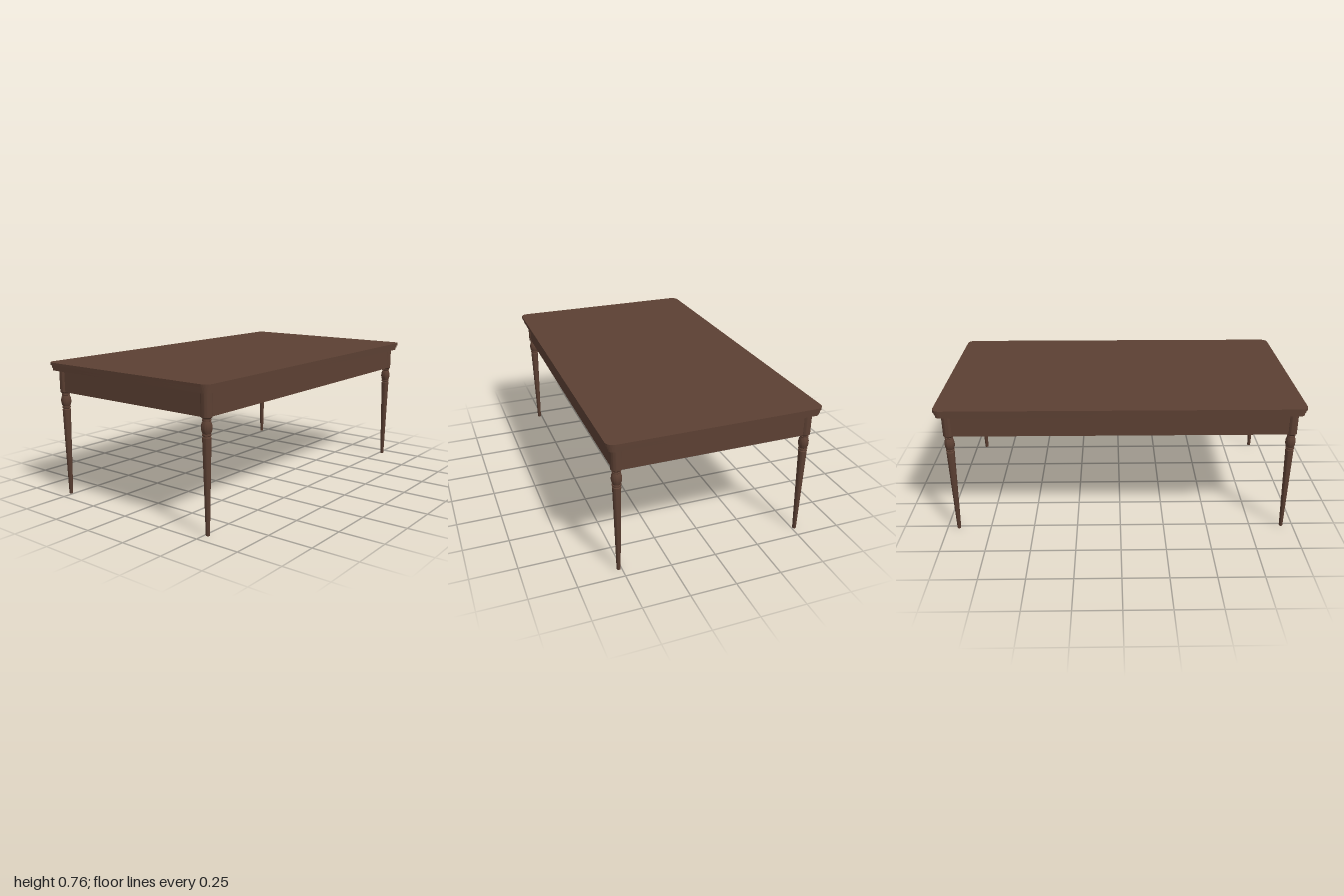
import * as THREE from 'three';
import { toCreasedNormals } from 'three/addons/utils/BufferGeometryUtils.js';

const LEG_X = 0.516, LEG_Z = 0.934;
const APRON_Y0 = 0.598, APRON_Y1 = 0.722, APRON_T = 0.04;

// Rounded rectangular slab between two heights, inset from the full table outline
function slabGeometry(inset, y0, y1) {
  const x = 0.578 - inset, z = 1 - inset, r = 0.042 - inset;
  const s = new THREE.Shape();
  s.moveTo(-x + r, -z);
  s.lineTo(x - r, -z);
  s.absarc(x - r, -z + r, r, -Math.PI / 2, 0);
  s.lineTo(x, z - r);
  s.absarc(x - r, z - r, r, 0, Math.PI / 2);
  s.lineTo(-x + r, z);
  s.absarc(-x + r, z - r, r, Math.PI / 2, Math.PI);
  s.lineTo(-x, -z + r);
  s.absarc(-x + r, -z + r, r, Math.PI, Math.PI * 1.5);
  const g = new THREE.ExtrudeGeometry(s, { depth: y1 - y0, bevelEnabled: false, curveSegments: 10 });
  g.rotateX(-Math.PI / 2).translate(0, y0, 0);
  return toCreasedNormals(g, 0.6);
}

// Turned leg: tapered shaft, rings, vase bulb, neck and cylindrical head
function legGeometry() {
  const profile = [
    [0, 0], [0.0095, 0], [0.0105, 0.004], [0.0225, 0.497],
    [0.0185, 0.5], [0.0185, 0.503], [0.0235, 0.506], [0.0235, 0.512], [0.02, 0.515],
    [0.0225, 0.52], [0.0262, 0.531], [0.0278, 0.544], [0.0268, 0.557], [0.0235, 0.57], [0.0195, 0.578],
    [0.0225, 0.58], [0.0225, 0.585], [0.0195, 0.588],
    [0.0292, 0.598], [0.0292, 0.722], [0, 0.722],
  ].map(([r, y]) => new THREE.Vector2(r, y));
  return toCreasedNormals(new THREE.LatheGeometry(profile, 28), 0.5);
}

export function createModel() {
  const table = new THREE.Group();
  table.name = 'table';
  const wood = new THREE.MeshStandardMaterial({ color: 0x5c4033 });
  wood.name = 'dark brown wood';

  const add = (name, geometry, x = 0, y = 0, z = 0) => {
    const mesh = new THREE.Mesh(geometry, wood);
    mesh.name = name;
    mesh.position.set(x, y, z);
    table.add(mesh);
  };

  // Top board with two stepped mouldings below
  add('tableTop', slabGeometry(0, 0.75, 0.765));
  add('upperMoulding', slabGeometry(0.006, 0.735, 0.75));
  add('lowerMoulding', slabGeometry(0.011, 0.72, 0.735));

  // Apron rails between the legs
  const h = APRON_Y1 - APRON_Y0, y = (APRON_Y0 + APRON_Y1) / 2;
  const endRail = new THREE.BoxGeometry(LEG_X * 2, h, APRON_T);
  const sideRail = new THREE.BoxGeometry(APRON_T, h, LEG_Z * 2);
  add('frontApron', endRail, 0, y, LEG_Z);
  add('backApron', endRail, 0, y, -LEG_Z);
  add('leftApron', sideRail, LEG_X, y, 0);
  add('rightApron', sideRail, -LEG_X, y, 0);

  // Four legs
  const leg = legGeometry();
  for (const [sx, side] of [[1, 'Left'], [-1, 'Right']]) {
    for (const [sz, end] of [[1, 'front'], [-1, 'back']]) {
      add(`${end}${side}Leg`, leg, sx * LEG_X, 0, sz * LEG_Z);
    }
  }
  return table;
}
